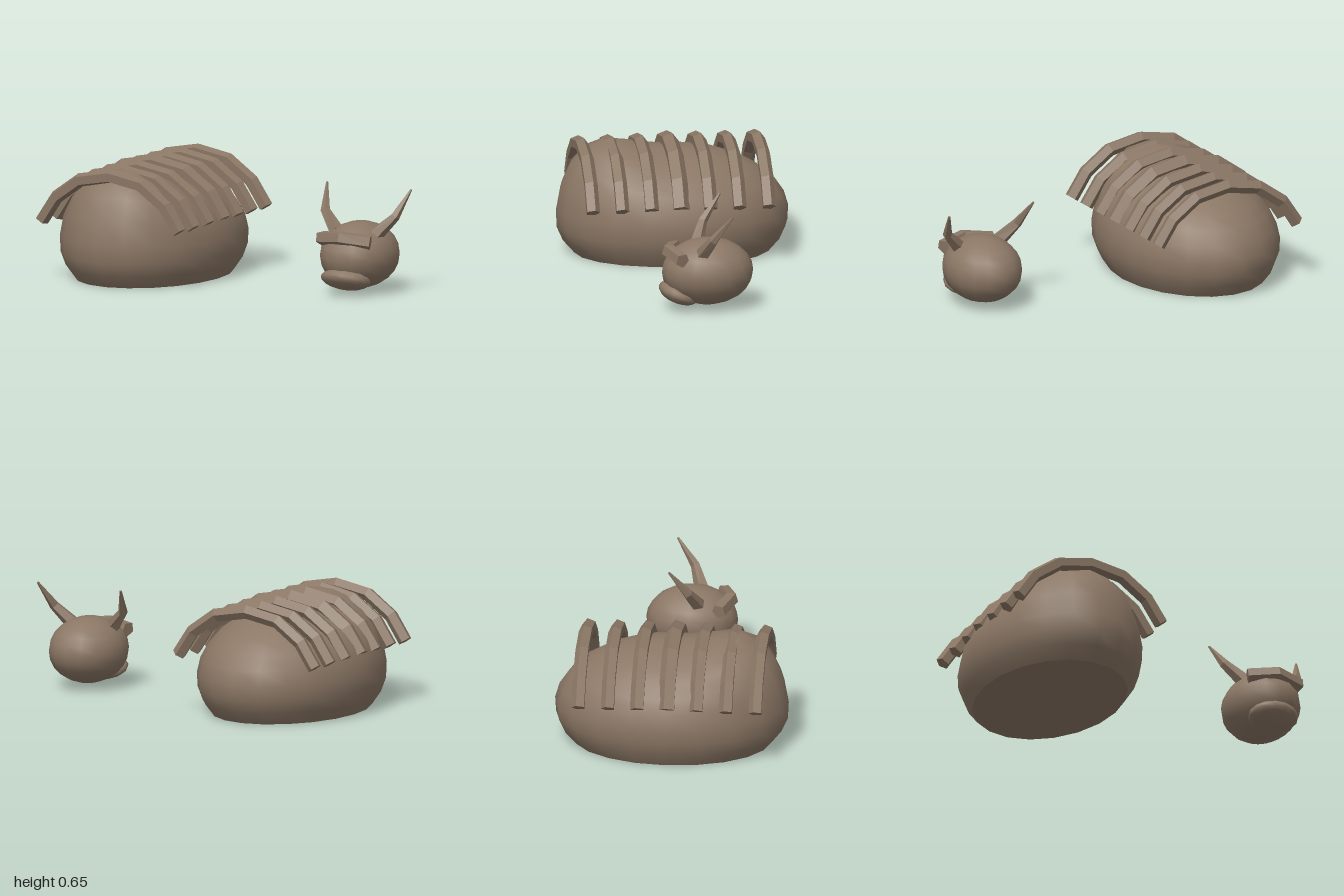
import * as THREE from 'three';
import { mergeVertices } from 'three/addons/utils/BufferGeometryUtils.js';

const smooth = new THREE.MeshStandardMaterial({ color: 0x8b7765 });
const faceted = new THREE.MeshStandardMaterial({ color: 0x8b7765, flatShading: true });

const BODY_X = -0.535;
const HEAD_X = 0.73;
const BODY_RX = 0.465;
const BODY_RZ = 0.635;
const CUT_ANGLE = 2.143;

function addMesh(parent, name, geometry, material) {
  const mesh = new THREE.Mesh(geometry, material);
  mesh.name = name;
  parent.add(mesh);
  return mesh;
}

// Five-sided bar swept along a polyline, one radius per point, capped at both ends
function sweepBar(points, radii, phase = 0.6, sides = 5) {
  const pts = points.map((p) => new THREE.Vector3(...p));
  const last = pts.length - 1;
  const pos = [];
  const idx = [];
  pts.forEach((p, i) => {
    const dirIn = pts[Math.max(i, 1)].clone().sub(pts[Math.max(i, 1) - 1]).normalize();
    const dirOut = pts[Math.min(i + 1, last)].clone().sub(pts[Math.min(i, last - 1)]).normalize();
    const t = dirIn.add(dirOut).normalize();
    const a = new THREE.Vector3(0, 0, 1);
    a.addScaledVector(t, -a.dot(t)).normalize();
    const b = a.clone().cross(t);
    for (let j = 0; j < sides; j++) {
      const ang = phase + (j / sides) * Math.PI * 2;
      const v = p.clone()
        .addScaledVector(a, Math.cos(ang) * radii[i])
        .addScaledVector(b, Math.sin(ang) * radii[i]);
      pos.push(v.x, v.y, v.z);
    }
  });
  for (let i = 0; i < last; i++) {
    for (let j = 0; j < sides; j++) {
      const k = (j + 1) % sides;
      const p = i * sides;
      const q = p + sides;
      idx.push(p + j, q + j, p + k, p + k, q + j, q + k);
    }
  }
  const end = last * sides;
  for (let j = 1; j < sides - 1; j++) {
    idx.push(0, j, j + 1, end, end + j + 1, end + j);
  }
  const g = new THREE.BufferGeometry();
  g.setAttribute('position', new THREE.Float32BufferAttribute(pos, 3));
  g.setIndex(idx);
  g.computeVertexNormals();
  return g;
}

// Ellipsoid cut flat below, with its upper front swollen and its lower half flattened
function shellGeometry() {
  const g = new THREE.SphereGeometry(1, 20, 10, 0, Math.PI * 2, 0, CUT_ANGLE);
  g.scale(BODY_RX, 0.385, BODY_RZ);
  const p = g.attributes.position;
  for (let i = 0; i < p.count; i++) {
    const y = p.getY(i);
    const swell = 1 + 0.62 * THREE.MathUtils.smoothstep(p.getZ(i), 0.05, 0.62);
    p.setY(i, y * (y > 0 ? swell : 0.935));
  }
  g.deleteAttribute('uv');
  g.deleteAttribute('normal');
  const merged = mergeVertices(g, 1e-4);
  merged.computeVertexNormals();
  return merged;
}

export function createModel() {
  const model = new THREE.Group();
  model.name = 'creature';

  // Body with flat underside
  const body = new THREE.Group();
  body.name = 'body';
  body.position.x = BODY_X;
  model.add(body);
  addMesh(body, 'bodyShell', shellGeometry(), smooth).position.y = 0.203;
  const cut = Math.sin(CUT_ANGLE);
  const base = new THREE.CircleGeometry(1, 20).rotateX(Math.PI / 2).scale(BODY_RX * cut, 1, BODY_RZ * cut);
  addMesh(body, 'underside', base, smooth).position.y = 0.203 + 0.385 * 0.935 * Math.cos(CUT_ANGLE);

  // Seven arched ribs over the back, thickest in the middle
  const half = [[0.425, 0.336], [0.336, 0.469], [0.19, 0.573]];
  const arch = [
    ...half.map(([x, y]) => [-x, y, 0]),
    [0, 0.608, 0],
    ...half.slice().reverse().map(([x, y]) => [x, y, 0]),
  ];
  for (let i = -3; i <= 3; i++) {
    const r = [0.049, 0.041, 0.039, 0.039][Math.abs(i)];
    const rib = addMesh(body, 'rib', sweepBar(arch, arch.map(() => r)), faceted);
    rib.position.set(0.005, 0, 0.013 + i * 0.16);
  }

  // Head
  const head = new THREE.Group();
  head.name = 'head';
  head.position.x = HEAD_X;
  model.add(head);
  const skull = addMesh(head, 'skull', new THREE.SphereGeometry(1, 16, 12), smooth);
  skull.scale.set(0.208, 0.182, 0.249);
  skull.position.set(0, 0.214, -0.012);

  // Muzzle, tilted up at the front
  const muzzle = addMesh(head, 'muzzle', new THREE.SphereGeometry(1, 14, 10), smooth);
  muzzle.scale.set(0.142, 0.055, 0.113);
  muzzle.position.set(0, 0.097, 0.145);
  muzzle.rotation.x = -0.35;

  // Brow ridge
  const browPath = [[-0.153, 0.312, 0.145], [0, 0.33, 0.198], [0.153, 0.312, 0.145]];
  addMesh(head, 'brow', sweepBar(browPath, [0.041, 0.041, 0.041], 0.9), faceted);

  // Bent, tapering horns
  for (const s of [-1, 1]) {
    const path = [[0.12, 0.335, 0.03], [0.215, 0.435, -0.015], [0.26, 0.573, -0.115]];
    const horn = sweepBar(path.map(([x, y, z]) => [s * x, y, z]), [0.042, 0.027, 0.006]);
    addMesh(head, s > 0 ? 'leftHorn' : 'rightHorn', horn, faceted);
  }

  return model;
}
